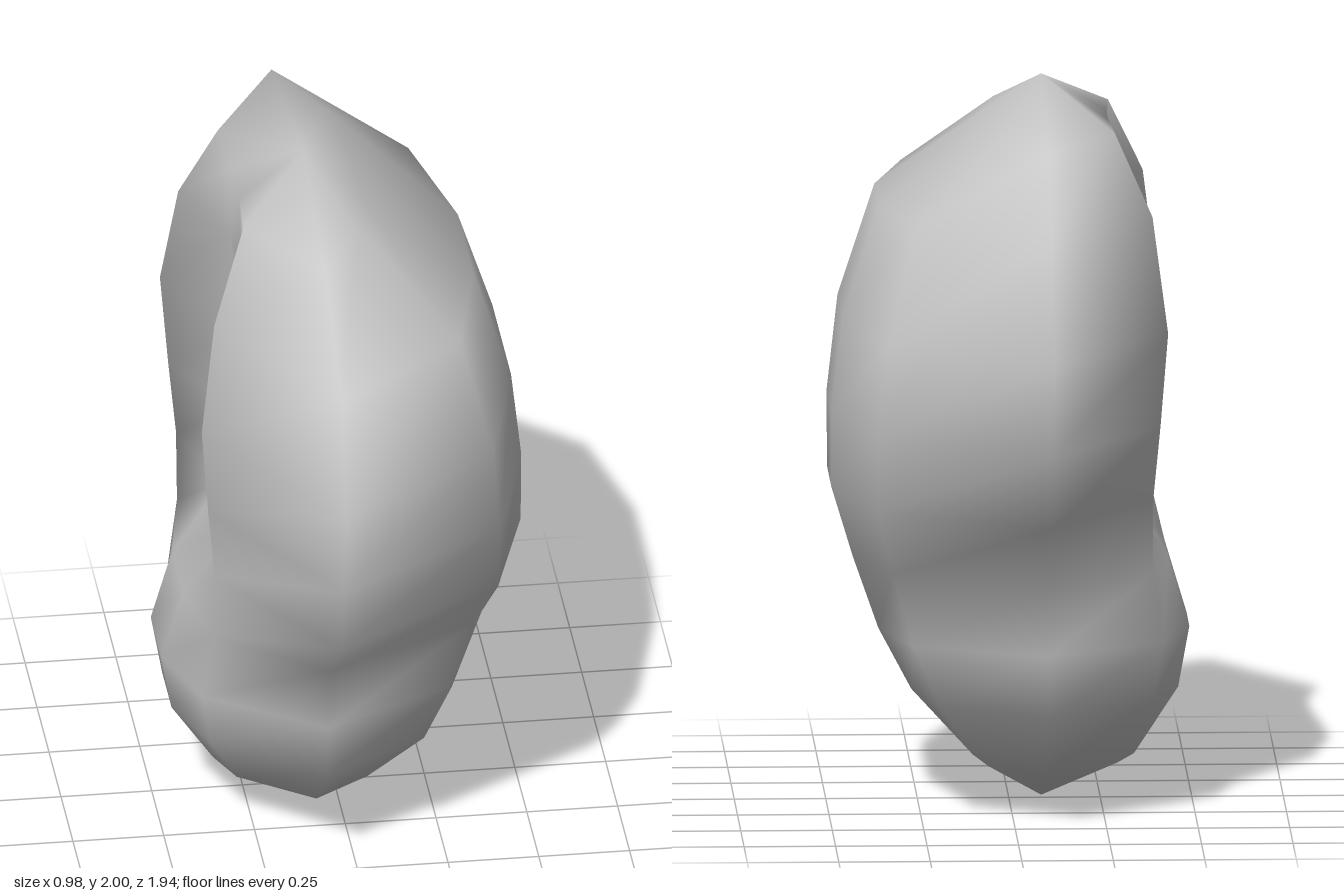
import * as THREE from 'three';

// Horizontal cross-sections, bottom to top:
// y, outer x, front z, back z, x of the side ridges, x of the inner hollow,
// depth share of the outer shoulders, depth share of the side ridges
const SECTIONS = [
  [0.13, 0.10, 0.33, -0.36, -0.29, -0.34, 0.68, 0.55],
  [0.32, 0.27, 0.54, -0.55, -0.38, -0.46, 0.68, 0.58],
  [0.49, 0.36, 0.58, -0.58, -0.41, -0.49, 0.68, 0.62],
  [0.69, 0.43, 0.62, -0.62, -0.38, -0.43, 0.66, 0.62],
  [0.89, 0.49, 0.85, -0.84, -0.38, -0.29, 0.66, 0.48],
  [1.10, 0.49, 0.91, -0.90, -0.40, -0.24, 0.67, 0.46],
  [1.36, 0.46, 0.97, -0.97, -0.42, -0.25, 0.67, 0.45],
  [1.67, 0.36, 0.86, -0.78, -0.38, -0.27, 0.66, 0.46],
  [1.89, 0.06, 0.52, -0.61, -0.28, -0.27, 0.60, 0.48],
];
const RIDGE_X = -0.09;

// One lens-shaped ring with a sharp front and back edge
function ring([y, outer, front, back, side, inner, shoulderShare, sideShare]) {
  const shoulder = RIDGE_X + (outer - RIDGE_X) * 0.81;
  return [
    [RIDGE_X, y, front],
    [shoulder, y, front * shoulderShare],
    [outer, y, front * 0.23],
    [outer, y, back * 0.17],
    [shoulder, y, back * shoulderShare],
    [RIDGE_X, y, back],
    [side, y, back * sideShare],
    [inner, y, back * sideShare * 0.27],
    [inner, y, front * sideShare * 0.35],
    [side, y, front * sideShare],
  ];
}

function bodyGeometry() {
  const rings = SECTIONS.map(ring);
  const n = rings[0].length;
  const points = rings.flat();
  const bottom = points.push([RIDGE_X, 0, 0.04]) - 1;
  const top = points.push([RIDGE_X, 2, 0.04]) - 1;
  const index = [];
  const last = (rings.length - 1) * n;
  for (let j = 0; j < n; j++) {
    const k = (j + 1) % n;
    index.push(bottom, k, j);
    for (let r = 0; r < last; r += n) {
      index.push(r + j, r + k, r + n + k, r + j, r + n + k, r + n + j);
    }
    index.push(last + j, last + k, top);
  }
  const geometry = new THREE.BufferGeometry();
  geometry.setAttribute('position', new THREE.Float32BufferAttribute(points.flat(), 3));
  geometry.setIndex(index);
  geometry.computeVertexNormals();
  return geometry;
}

export function createModel() {
  const group = new THREE.Group();
  group.name = 'boulder';
  const stone = new THREE.MeshStandardMaterial({ color: 0xc8c8c8 });
  stone.name = 'stone grey';
  const body = new THREE.Mesh(bodyGeometry(), stone);
  body.name = 'boulderBody';
  group.add(body);
  return group;
}
